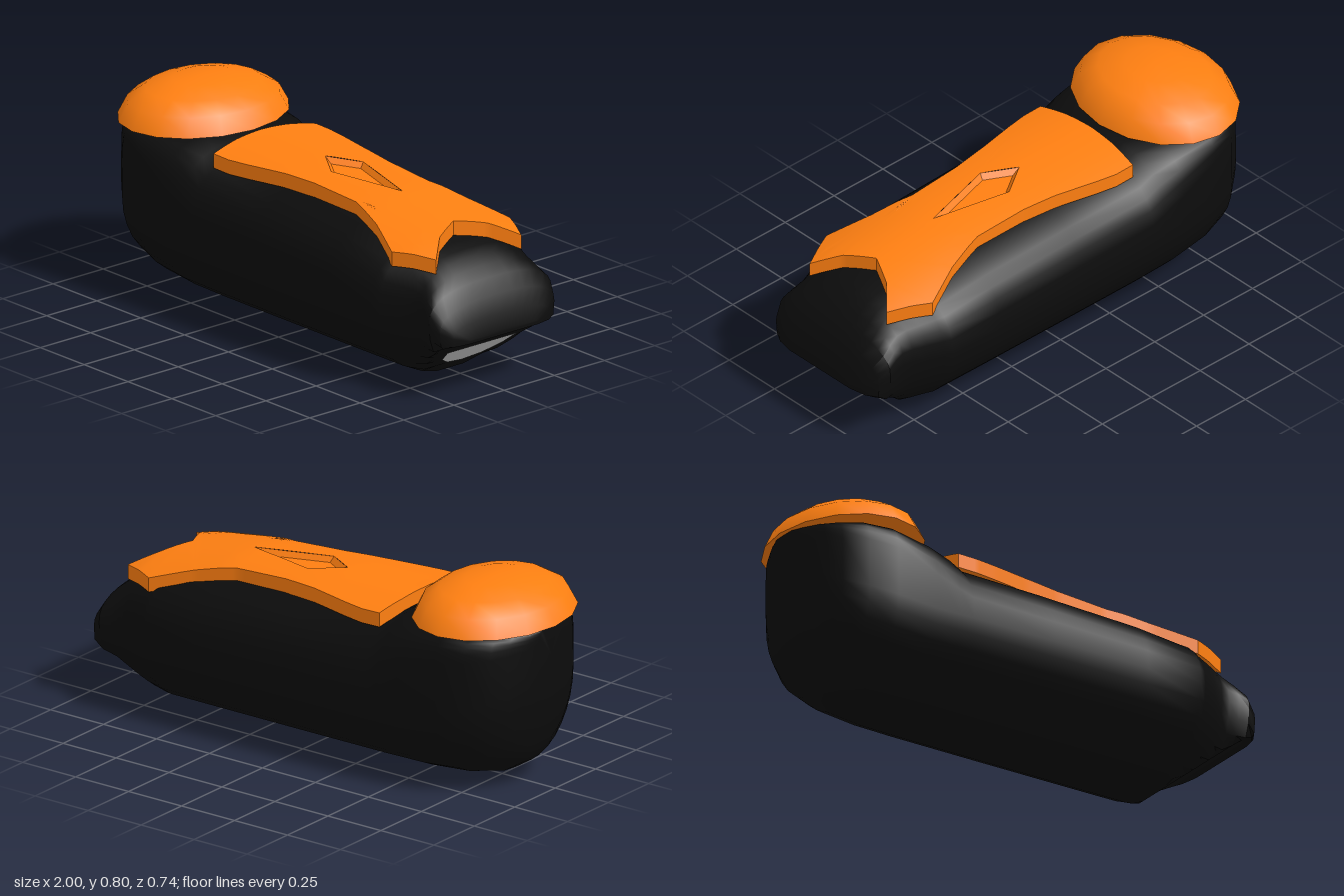
import * as THREE from 'three';
import { toCreasedNormals } from 'three/addons/utils/BufferGeometryUtils.js';

const paint = (color) => new THREE.MeshStandardMaterial({ color });

function addPart(group, name, geometry, material, crease = 0.6) {
  const mesh = new THREE.Mesh(toCreasedNormals(geometry, crease), material);
  mesh.name = name;
  group.add(mesh);
}

function fromTriangles(points, index) {
  const g = new THREE.BufferGeometry();
  g.setAttribute('position', new THREE.Float32BufferAttribute(points, 3));
  g.setIndex(index);
  return g;
}

// Cross-sections along x: [x, half width, bottom, y of widest point, top, squareness of upper half]
const SECTIONS = [
  [-0.98, 0.07, 0.42, 0.5, 0.648, 8], [-0.965, 0.12, 0.28, 0.45, 0.648, 8],
  [-0.93, 0.2, 0.155, 0.42, 0.648, 8], [-0.89, 0.257, 0.09, 0.39, 0.648, 8],
  [-0.81, 0.322, 0.04, 0.36, 0.648, 8], [-0.7, 0.352, 0.015, 0.34, 0.648, 7],
  [-0.53, 0.365, 0.003, 0.32, 0.648, 4], [-0.43, 0.368, 0.002, 0.32, 0.638, 3],
  [-0.37, 0.37, 0.001, 0.32, 0.605, 2.8], [0, 0.37, 0, 0.32, 0.6, 2.7],
  [0.42, 0.37, 0, 0.32, 0.585, 2.6], [0.66, 0.368, 0, 0.32, 0.555, 2.6],
  [0.69, 0.352, 0.008, 0.32, 0.545, 2.6], [0.75, 0.325, 0.058, 0.32, 0.53, 2.6],
  [0.8, 0.301, 0.1, 0.32, 0.515, 2.6], [0.84, 0.29, 0.133, 0.32, 0.497, 2.6],
  [0.88, 0.297, 0.166, 0.32, 0.465, 2.6], [0.92, 0.305, 0.197, 0.31, 0.43, 2.6],
  [0.96, 0.285, 0.215, 0.28, 0.375, 2.5], [0.985, 0.24, 0.222, 0.255, 0.305, 2.4],
  [1, 0.17, 0.224, 0.235, 0.245, 2.2],
];

function bodyGeometry() {
  const N = 32, pts = [], idx = [];
  for (const [x, w, bottom, mid, top, n] of SECTIONS) {
    const low = x > 0.67 ? 0 : bottom; // the toe end is cut flat by a sloping plane
    for (let j = 0; j < N; j++) {
      const t = (j / N) * Math.PI * 2, c = Math.cos(t), s = Math.sin(t);
      const e = s > 0 ? 2 / n : 1;
      const z = w * Math.sign(c) * Math.abs(c) ** e;
      const y = s > 0 ? mid + (top - mid) * s ** e : mid + (mid - low) * s;
      pts.push(x, Math.max(y, bottom), z);
    }
  }
  const last = SECTIONS.length - 1;
  for (let i = 0; i < last; i++) {
    for (let j = 0; j < N; j++) {
      const a = i * N + j, b = i * N + ((j + 1) % N);
      idx.push(a, a + N, b, b, a + N, b + N);
    }
  }
  // End caps
  const c0 = pts.length / 3, c1 = c0 + 1;
  pts.push(-0.982, 0.53, 0, 1, 0.235, 0);
  for (let j = 0; j < N; j++) {
    const k = (j + 1) % N;
    idx.push(c0, j, k, c1, last * N + k, last * N + j);
  }
  return fromTriangles(pts, idx);
}

// Height of the plate's upper surface
const SPINE = [[-0.385, 0.665], [0, 0.657], [0.42, 0.637], [0.71, 0.596], [0.77, 0.586], [0.86, 0.56]];
function plateTop(x, z) {
  let i = 0;
  while (i < SPINE.length - 2 && x > SPINE[i + 1][0]) i++;
  const [x0, y0] = SPINE[i], [x1, y1] = SPINE[i + 1];
  const y = y0 + ((y1 - y0) * (x - x0)) / (x1 - x0);
  return y - z * z * (0.48 + 0.22 * THREE.MathUtils.smoothstep(x, 0, 0.7));
}

// Split every triangle in four
function subdivide(geometry, times) {
  let p = Array.from(geometry.toNonIndexed().attributes.position.array);
  for (let r = 0; r < times; r++) {
    const out = [];
    for (let i = 0; i < p.length; i += 9) {
      const [a, b, c] = [0, 3, 6].map((o) => p.slice(i + o, i + o + 3));
      const mid = (u, v) => u.map((q, k) => (q + v[k]) / 2);
      const ab = mid(a, b), bc = mid(b, c), ca = mid(c, a);
      out.push(...a, ...ab, ...ca, ...ab, ...b, ...bc, ...ca, ...bc, ...c, ...ab, ...bc, ...ca);
    }
    p = out;
  }
  const g = new THREE.BufferGeometry();
  g.setAttribute('position', new THREE.Float32BufferAttribute(p, 3));
  return g;
}

const DIAMOND = [[-0.02, 0], [0.105, 0.08], [0.42, 0], [0.105, -0.08]];

function plateGeometry() {
  const half = [
    [-0.385, 0], [-0.38, 0.13], [-0.365, 0.255], [-0.28, 0.255], [-0.19, 0.24], [-0.02, 0.205],
    [0.13, 0.185], [0.36, 0.18], [0.53, 0.225], [0.695, 0.293], [0.855, 0.212], [0.77, 0.12], [0.71, 0],
  ];
  const mirrored = half.slice(1, -1).reverse().map(([x, z]) => [x, -z]);
  const toVec = ([x, z]) => new THREE.Vector2(x, z);
  const shape = new THREE.Shape([...half, ...mirrored].map(toVec));
  shape.holes.push(new THREE.Path(DIAMOND.map(toVec)));
  const depth = 0.057;
  const flat = new THREE.ExtrudeGeometry(shape, { depth, bevelEnabled: false }).rotateX(-Math.PI / 2);
  const g = subdivide(flat, 3);
  const p = g.attributes.position;
  for (let i = 0; i < p.count; i++) {
    p.setY(i, p.getY(i) - depth + plateTop(p.getX(i), p.getZ(i)));
  }
  return g;
}

// Diamond recess with sloping walls and a floor
function recessGeometry() {
  const pts = [], idx = [];
  for (const [k, drop] of [[1, 0], [0.78, 0.022]]) {
    for (const [x, z] of DIAMOND) {
      const px = 0.13 + (x - 0.13) * k;
      pts.push(px, plateTop(px, z * k) - drop, z * k);
    }
  }
  for (let i = 0; i < 4; i++) {
    const j = (i + 1) % 4;
    idx.push(i, j, j + 4, i, j + 4, i + 4);
  }
  idx.push(4, 5, 6, 4, 6, 7);
  return fromTriangles(pts, idx);
}

export function createModel() {
  const group = new THREE.Group();
  const orange = paint(0xff7f11);

  addPart(group, 'body', bodyGeometry(), paint(0x0c0c0c));

  // Oval dome cap
  const profile = [[0, 0.648], [0.355, 0.65], [0.315, 0.72], [0.24, 0.763], [0.13, 0.79], [0, 0.797]];
  const dome = new THREE.LatheGeometry(profile.map(([r, y]) => new THREE.Vector2(r, y)), 16);
  dome.scale(0.285 / 0.355, 1, 1).translate(-0.715, 0, 0);
  addPart(group, 'domeCap', dome, orange, 0.9);

  // Curved top plate
  addPart(group, 'topPlate', plateGeometry(), orange, 0.45);
  const recessPaint = orange.clone();
  recessPaint.side = THREE.DoubleSide;
  addPart(group, 'plateRecess', recessGeometry(), recessPaint, 0.1);

  // Half disc lying on the sloping underside
  const disc = new THREE.CircleGeometry(1, 6, Math.PI, Math.PI);
  const p = disc.attributes.position;
  for (let i = 0; i < p.count; i++) {
    const y = 0.155 + 0.097 * p.getY(i);
    p.setXYZ(i, 0.688 + y / 0.83, y, -0.172 * p.getX(i));
  }
  const grey = paint(0xcccccc);
  grey.side = THREE.DoubleSide;
  addPart(group, 'undersideDisc', disc, grey);

  return group;
}
